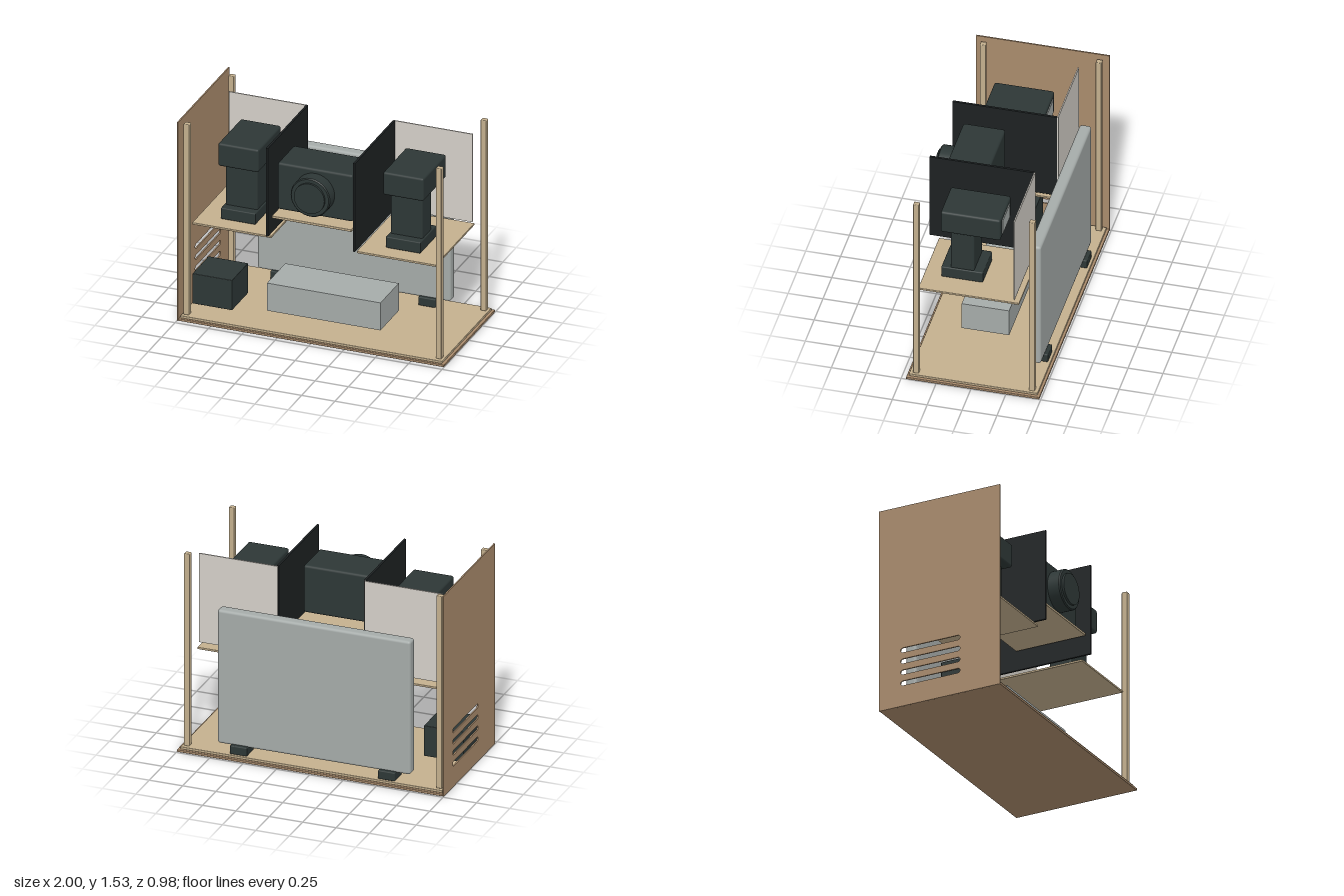
import * as THREE from 'three';
import { RoundedBoxGeometry } from 'three/addons/geometries/RoundedBoxGeometry.js';

function mat(name, color) {
  const m = new THREE.MeshStandardMaterial({ color });
  m.name = name;
  return m;
}

export function createModel() {
  const root = new THREE.Group();
  root.name = 'displayRack';
  const tan = mat('paleWood', 0xc4b08e);
  const brown = mat('brownWood', 0xa98b6c);
  const grey = mat('greyMetal', 0xa5aba9);
  const dark = mat('darkPlastic', 0x2d3736);
  const black = mat('blackDivider', 0x1d2122);
  const pale = mat('paleBackboard', 0xd4d0c8);

  // Box from its limits on each axis, with optional rounded edges
  function box(name, material, [x0, x1], [y0, y1], [z0, z1], r = 0, parent = root) {
    const size = [x1 - x0, y1 - y0, z1 - z0];
    const geo = r ? new RoundedBoxGeometry(...size, 2, r) : new THREE.BoxGeometry(...size);
    const mesh = new THREE.Mesh(geo, material);
    mesh.position.set((x0 + x1) / 2, (y0 + y1) / 2, (z0 + z1) / 2);
    mesh.name = name;
    parent.add(mesh);
    return mesh;
  }

  // Base: brown underside plate with a smaller pale deck on top
  box('basePlate', brown, [-0.99, 1], [0, 0.018], [-0.49, 0.465], 0.004);
  box('baseDeck', tan, [-0.98, 0.98], [0.018, 0.036], [-0.472, 0.45], 0.004);

  // Side wall with four rounded ventilation slots
  const wallShape = new THREE.Shape();
  wallShape.moveTo(-0.49, 0).lineTo(0.465, 0).lineTo(0.465, 1.53).lineTo(-0.49, 1.53).closePath();
  for (let i = 0; i < 4; i++) {
    const y = 0.174 + i * 0.0845, r = 0.018;
    const slot = new THREE.Path();
    slot.absarc(0.15 - r, y, r, -Math.PI / 2, Math.PI / 2, false);
    slot.absarc(-0.32 + r, y, r, Math.PI / 2, Math.PI * 1.5, false);
    slot.closePath();
    wallShape.holes.push(slot);
  }
  const wallGeo = new THREE.ExtrudeGeometry(wallShape, { depth: 0.01, bevelEnabled: false, curveSegments: 6 });
  wallGeo.rotateY(-Math.PI / 2);
  const wall = new THREE.Mesh(wallGeo, brown);
  wall.position.x = -0.99;
  wall.name = 'slottedSideWall';
  root.add(wall);

  // Corner posts
  for (const x of [-0.947, 0.943]) {
    for (const z of [0.404, -0.427]) {
      box('cornerPost', tan, [x - 0.021, x + 0.021], [0.036, 1.505], [z - 0.021, z + 0.021], 0.006);
    }
  }

  // Side bays, mirrored: shelf, backboard, divider and upright device
  for (const [side, s] of [['right', -1], ['left', 1]]) {
    const bay = new THREE.Group();
    bay.name = side + 'Bay';
    root.add(bay);
    const span = (a, b) => (s > 0 ? [a, b] : [-b, -a]);
    box('shelf', tan, span(0.32, 0.912), [0.729, 0.744], [-0.322, 0.4], 0.003, bay);
    box('backboard', pale, span(0.325, 0.912), [0.77, 1.448], [-0.291, -0.282], 0, bay);
    box('divider', black, span(0.318, 0.334), [0.77, 1.45], [-0.282, 0.465], 0, bay);

    const c = 0.618;
    box('deviceFoot', dark, span(c - 0.13, c + 0.13), [0.746, 0.832], [-0.022, 0.277], 0.008, bay);
    box('deviceColumn', dark, span(c - 0.119, c + 0.119), [0.82, 1.16], [0.044, 0.212], 0.01, bay);
    box('deviceHead', dark, span(c - 0.152, c + 0.152), [1.15, 1.326], [-0.152, 0.277], 0.016, bay);
    box('deviceScreen', grey, span(c - 0.1, c + 0.1), [1.18, 1.295], [-0.159, -0.151], 0, bay);
  }

  // Centre shelf and the boxy device with a round lens
  box('centreShelf', tan, [-0.3, 0.297], [0.905, 0.923], [-0.11, 0.44], 0.004);
  box('lensBody', dark, [-0.283, 0.28], [0.95, 1.31], [0.075, 0.378], 0.018);
  const lensProfile = [[0, 0], [0.147, 0], [0.147, 0.092], [0.14, 0.1], [0.114, 0.1], [0.114, 0.116], [0, 0.116]];
  // Flat steps: each profile segment is its own ring so edges stay sharp
  const lens = new THREE.Group();
  lens.name = 'lens';
  for (let i = 1; i < lensProfile.length - 1; i++) {
    const pts = [lensProfile[i], lensProfile[i + 1]].map(p => new THREE.Vector2(...p));
    const ring = new THREE.Mesh(new THREE.LatheGeometry(pts, 40), dark);
    ring.name = 'lensRing';
    lens.add(ring);
  }
  lens.rotation.x = Math.PI / 2;
  lens.position.set(0, 1.13, 0.374);
  root.add(lens);

  // Equipment on the deck
  box('darkBox', dark, [-0.96, -0.662], [0.056, 0.287], [-0.022, 0.277], 0.004);
  box('greyBox', grey, [-0.427, 0.423], [0.068, 0.28], [-0.128, 0.212]);

  // Large upright panel on two feet
  box('uprightPanel', grey, [-0.725, 0.722], [0.09, 1.108], [-0.43, -0.345], 0.02);
  for (const x of [-0.555, 0.553]) {
    box('panelFoot', dark, [x - 0.064, x + 0.064], [0.034, 0.1], [-0.455, -0.323], 0.008);
  }
  return root;
}
